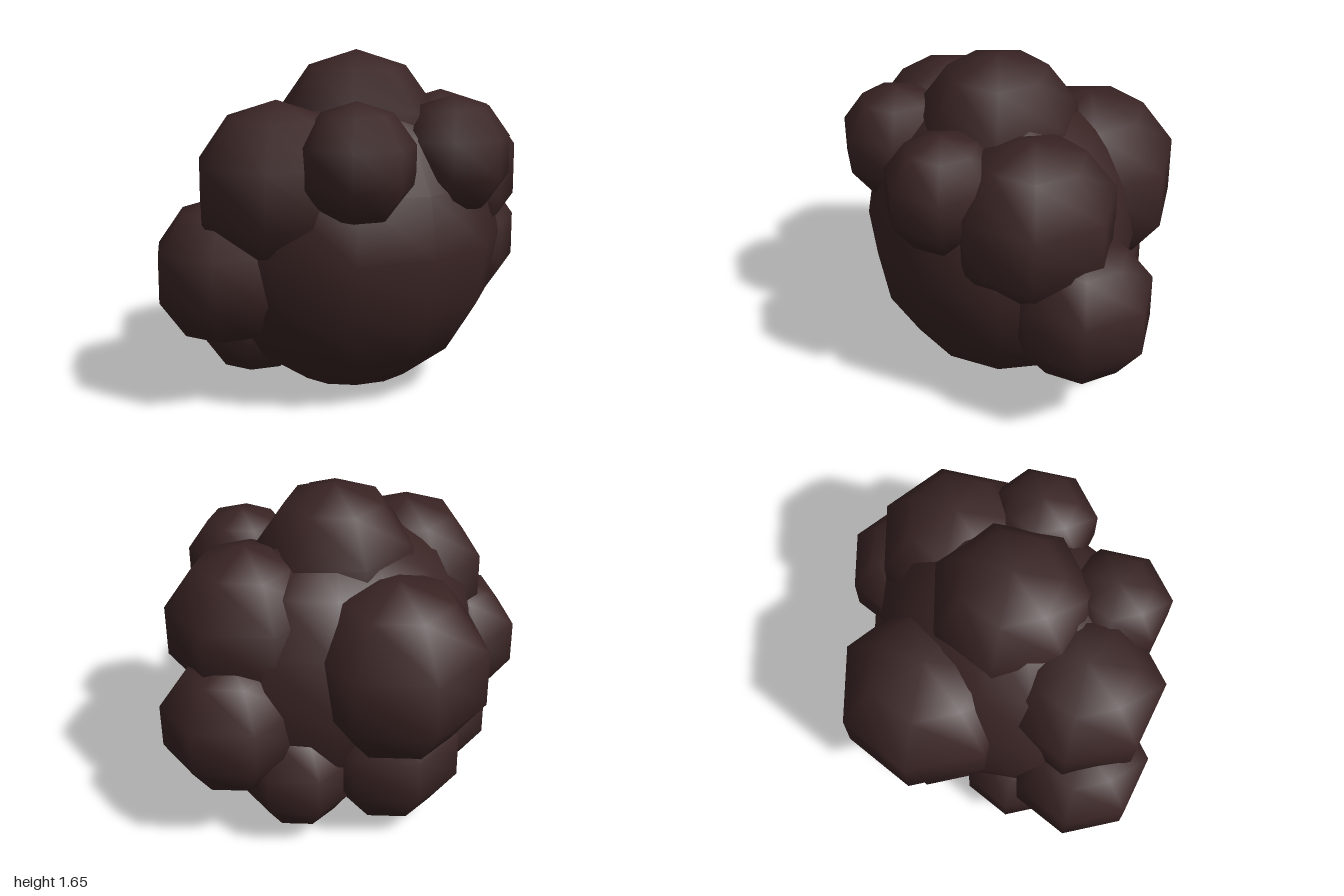
import * as THREE from 'three';

export function createModel() {
  const group = new THREE.Group();
  const darkBrown = new THREE.MeshStandardMaterial({ color: 0x3a2424 });
  const midX = 0.016; // the puffs have an odd side count, so the middle sits slightly off

  // Large rounded core, flattened front to back
  const core = new THREE.Mesh(new THREE.SphereGeometry(0.745, 12, 8), darkBrown);
  core.name = 'core';
  core.scale.z = 0.86;
  core.position.set(midX, 0.743, 0.13);
  group.add(core);

  // Low-poly puffs
  function puff(name, radius, x, y, z) {
    const mesh = new THREE.Mesh(new THREE.SphereGeometry(radius, 7, 5), darkBrown);
    mesh.name = name;
    mesh.position.set(midX + x, y, z);
    group.add(mesh);
  }

  // Puffs on the centre line
  puff('topPuff', 0.41, 0, 1.24, 0.13);
  puff('backPuff', 0.46, 0, 0.89, -0.37);
  puff('lowerBackPuff', 0.37, 0, 0.4, -0.314);

  // Mirrored pairs
  for (const [side, s] of [['left', 1], ['right', -1]]) {
    puff(side + 'FrontPuff', 0.285, s * 0.275, 1.168, 0.535);
    puff(side + 'UpperPuff', 0.41, s * 0.477, 1.03, 0.18);
    puff(side + 'SidePuff', 0.356, s * 0.678, 0.64, 0.033);
    puff(side + 'LowerPuff', 0.295, s * 0.42, 0.345, -0.138);
  }
  return group;
}
